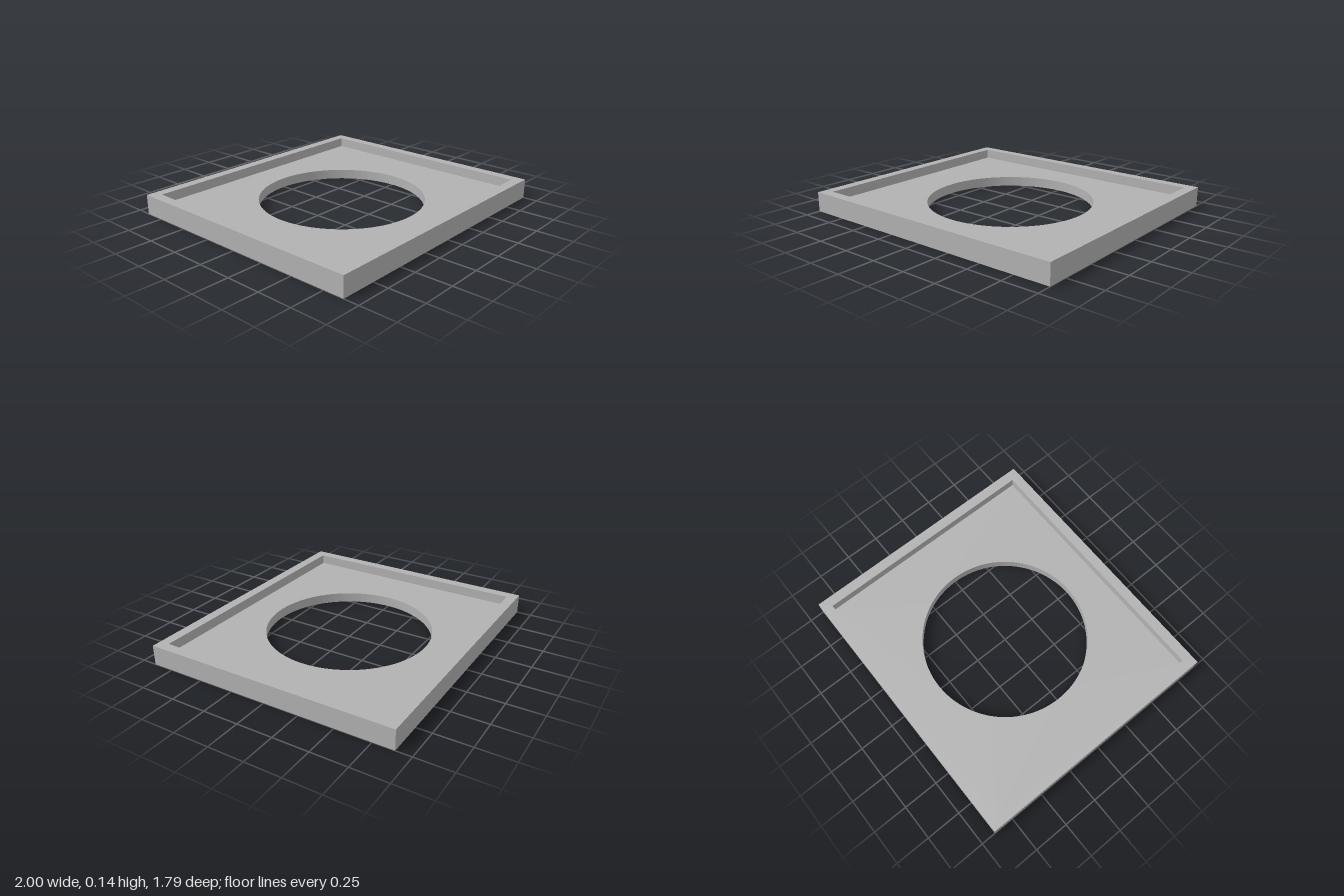
import * as THREE from 'three';
import { mergeGeometries } from 'three/addons/utils/BufferGeometryUtils.js';

const OUTER = [1, 0.895];       // half width, half depth
const INNER = [0.928, 0.823];   // recess inside the rim
const HEIGHT = 0.14, FLOOR = 0.07, HOLE = 0.585, SEGMENTS = 96;

function rectangle([hx, hz], Type = THREE.Shape) {
  return new Type([[-hx, -hz], [hx, -hz], [hx, hz], [-hx, hz]].map(([x, y]) => new THREE.Vector2(x, y)));
}

// Horizontal face with one opening, looking up (1) or down (-1)
function face(size, opening, y, direction) {
  const shape = rectangle(size);
  shape.holes.push(opening);
  return new THREE.ShapeGeometry(shape, SEGMENTS).rotateX(-direction * Math.PI / 2).translate(0, y, 0);
}

// Four upright walls around a rectangle
function walls([hx, hz], y0, y1, inward) {
  return mergeGeometries([0, 1, 2, 3].map((k) => {
    const side = new THREE.PlaneGeometry(2 * (k % 2 ? hz : hx), y1 - y0);
    if (inward) side.rotateY(Math.PI);
    return side.translate(0, (y0 + y1) / 2, k % 2 ? hx : hz).rotateY(k * Math.PI / 2);
  }));
}

function circle() {
  const angles = Array.from({ length: SEGMENTS }, (_, i) => i / SEGMENTS * Math.PI * 2);
  return new THREE.Path(angles.map((a) => new THREE.Vector2(HOLE * Math.sin(a), HOLE * Math.cos(a))));
}

export function createModel() {
  const group = new THREE.Group();
  group.name = 'recessedTray';
  const grey = new THREE.MeshStandardMaterial({ color: 0xb2b2b2, side: THREE.DoubleSide });
  grey.name = 'grey';

  const add = (name, geometry) => {
    const mesh = new THREE.Mesh(geometry, grey);
    mesh.name = name;
    group.add(mesh);
  };

  // Rim and outer sides
  add('outerWalls', walls(OUTER, 0, HEIGHT, false));
  add('rimTop', face(OUTER, rectangle(INNER, THREE.Path), HEIGHT, 1));
  add('recessWalls', walls(INNER, FLOOR, HEIGHT, true));

  // Floor plate with the round opening
  add('recessFloor', face(INNER, circle(), FLOOR, 1));
  add('underside', face(OUTER, circle(), 0, -1));
  add('holeWall', new THREE.CylinderGeometry(HOLE, HOLE, FLOOR, SEGMENTS, 1, true).translate(0, FLOOR / 2, 0));

  return group;
}
